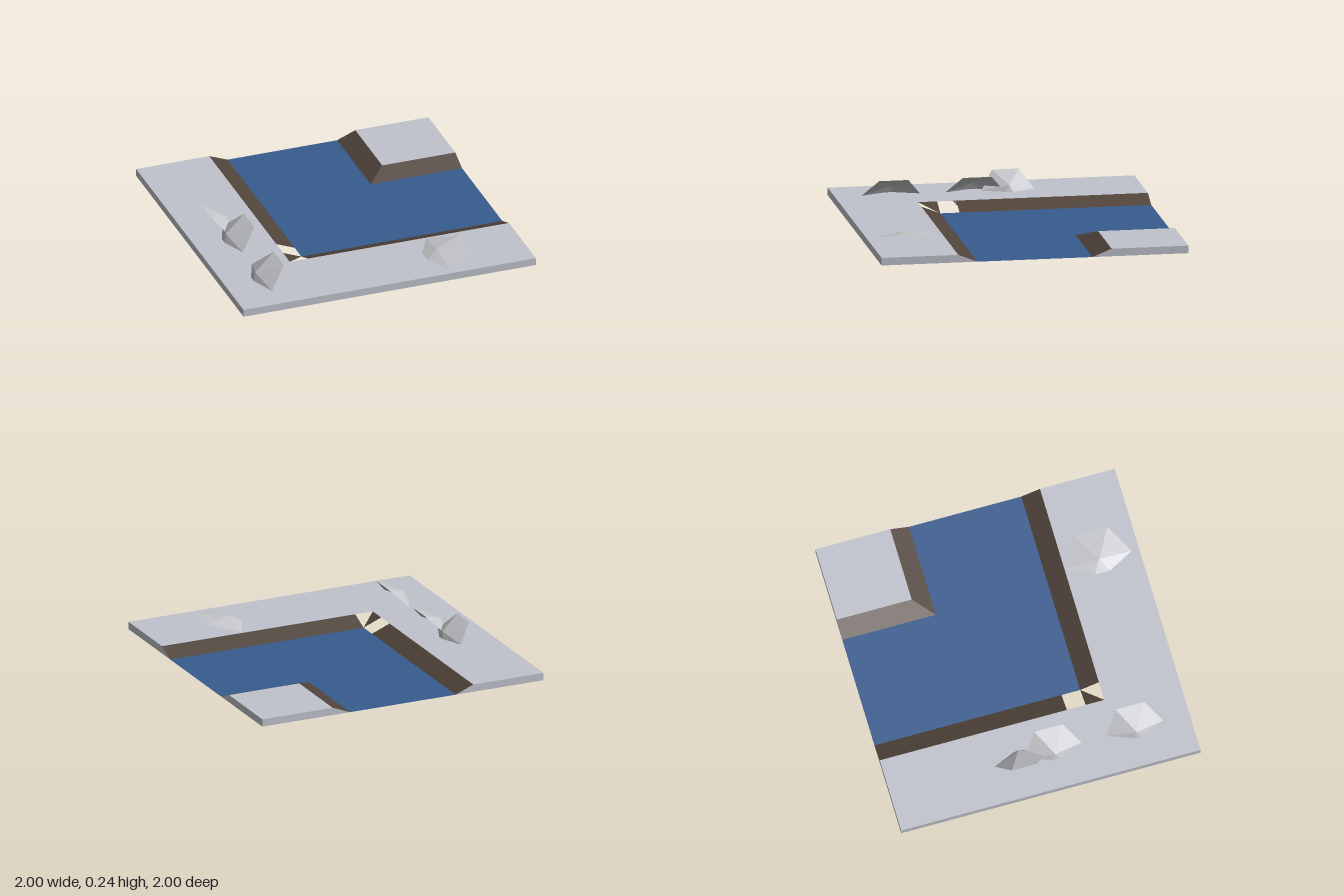
import * as THREE from 'three';

const TOP = 0.125; // ground level
const LOW = 0.075; // water level and bottom of the rim

const makeMaterial = (name, color) => {
  const m = new THREE.MeshStandardMaterial({ color, side: THREE.DoubleSide, flatShading: true });
  m.name = name;
  return m;
};

// One mesh from flat convex polygons, each a list of [x, y, z] corners
function sheet(name, material, polygons) {
  const pos = [];
  for (const p of polygons) {
    for (let i = 1; i < p.length - 1; i++) pos.push(...p[0], ...p[i], ...p[i + 1]);
  }
  const g = new THREE.BufferGeometry();
  g.setAttribute('position', new THREE.Float32BufferAttribute(pos, 3));
  g.computeVertexNormals();
  const mesh = new THREE.Mesh(g, material);
  mesh.name = name;
  return mesh;
}

// Level rectangle facing up
const flat = (x0, x1, z0, z1, y) => [[x0, y, z1], [x1, y, z1], [x1, y, z0], [x0, y, z0]];

export function createModel() {
  const group = new THREE.Group();
  const stone = makeMaterial('stone grey', 0xc0c3cc);
  const rock = makeMaterial('rock grey', 0xc4c5c9);
  const earth = makeMaterial('earth brown', 0x50433a);
  const water = makeMaterial('river blue', 0x365c8e);
  const o = 0.5, n = 0.375; // outer and inner lines of the banks

  // Ground: an L-shaped sheet and a separate corner square
  group.add(sheet('ground', stone, [
    flat(-1, -o, -1, 1, TOP),
    flat(-o, 1, o, 1, TOP),
    flat(o, 1, -1, -o, TOP),
  ]));

  // Rim around the edge, tapering off along the banks
  group.add(sheet('rim', stone, [
    [[-1, LOW, 1], [1, LOW, 1], [1, TOP, 1], [-1, TOP, 1]],
    [[-1, LOW, -1], [-1, LOW, 1], [-1, TOP, 1], [-1, TOP, -1]],
    [[1, LOW, 1], [1, LOW, n], [1, TOP, o], [1, TOP, 1]],
    [[1, LOW, -n], [1, LOW, -1], [1, TOP, -1], [1, TOP, -o]],
    [[1, LOW, -1], [n, LOW, -1], [o, TOP, -1], [1, TOP, -1]],
    [[-n, LOW, -1], [-1, LOW, -1], [-1, TOP, -1], [-o, TOP, -1]],
  ]));

  // Sloping banks, with the gap at the river bend
  group.add(sheet('riverBanks', earth, [
    [[-o, TOP, 0.25], [-n, LOW, 0.25], [-n, LOW, -1], [-o, TOP, -1]],
    [[-o, TOP, o], [-n, LOW, n], [-o, TOP, n]],
    [[-n, TOP, o], [1, TOP, o], [1, LOW, n], [-n, LOW, n]],
    [[n, LOW, -n], [o, TOP, -o], [o, TOP, -1], [n, LOW, -1]],
    [[n, LOW, -n], [1, LOW, -n], [1, TOP, -o], [o, TOP, -o]],
  ]));

  // Water follows the bend
  group.add(sheet('river', water, [
    flat(-n, n, -1, n, LOW),
    flat(n, 1, -n, n, LOW),
  ]));

  // Rocks: open six-sided shells [x, z, radius, height, tilt in degrees]
  const rocks = [
    [0.43, 0.73, 0.22, 0.04, 14],
    [-0.74, 0.635, 0.19, 0.065, 46],
    [-0.74, 0.09, 0.188, 0.065, 46],
    [-0.745, -0.13, 0.172, 0.065, -50],
  ];
  rocks.forEach(([x, z, r, h, tilt], i) => {
    const g = new THREE.ConeGeometry(r, h, 6, 1, true).translate(0, h / 2, 0);
    const mesh = new THREE.Mesh(g, rock);
    mesh.name = `rock${i + 1}`;
    mesh.position.set(x, TOP, z);
    mesh.rotation.z = THREE.MathUtils.degToRad(tilt);
    group.add(mesh);
  });

  return group;
}
